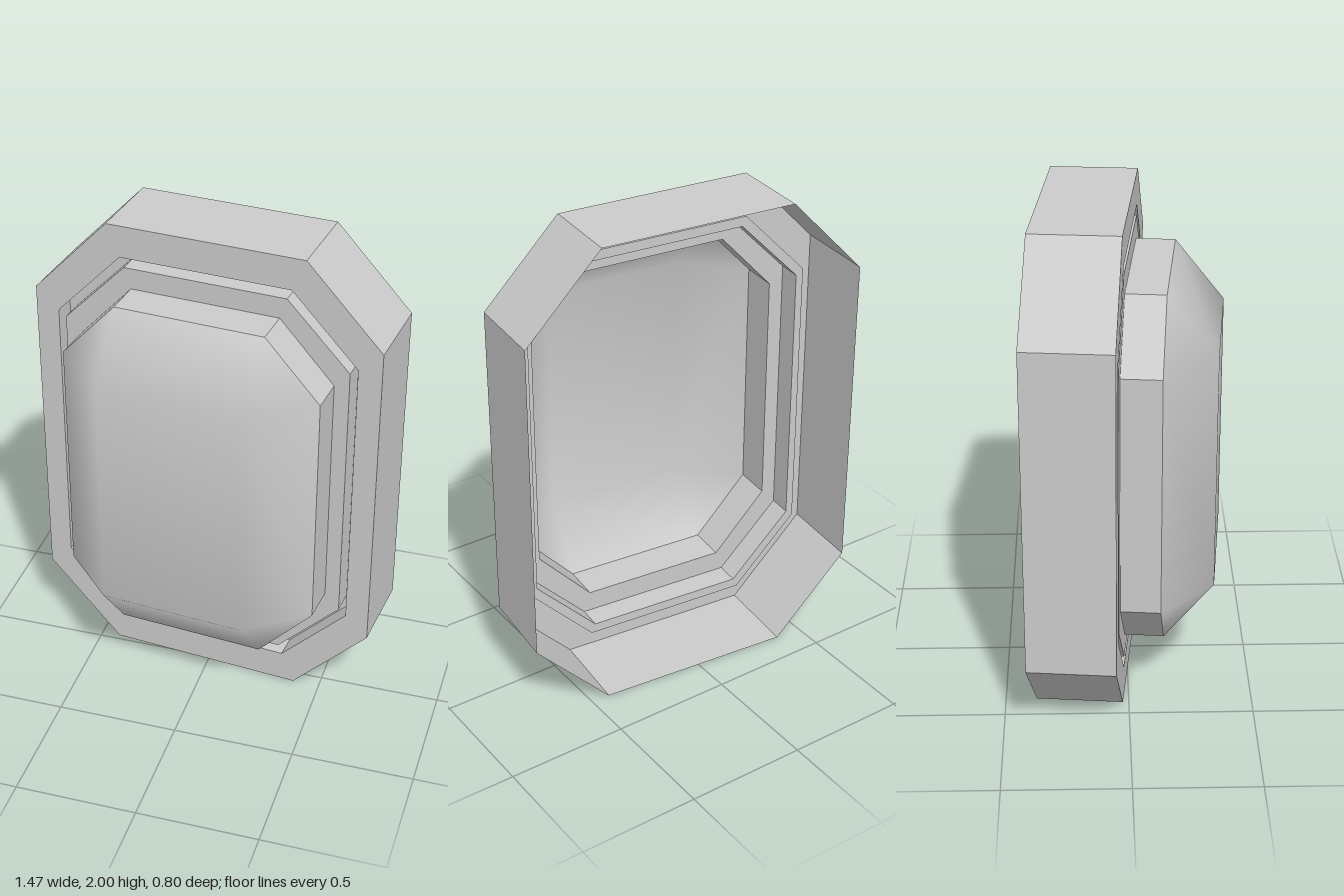
import * as THREE from 'three';

const material = new THREE.MeshStandardMaterial({ color: 0xcccccc, side: THREE.DoubleSide });
const flatMaterial = material.clone();
flatMaterial.flatShading = true;

// Chamfered rectangle, counter-clockwise from the front: half sizes hx, hy, flat-edge half lengths cx, cy
const octagon = ([hx, hy, cx, cy, z]) => [
  [hx, -cy, z], [hx, cy, z], [cx, hy, z], [-cx, hy, z],
  [-hx, cy, z], [-hx, -cy, z], [-cx, -hy, z], [cx, -hy, z],
];

// Flat-faced walls joining consecutive octagonal sections
function loft(name, sections) {
  const rings = sections.map(octagon);
  const positions = [];
  for (let s = 0; s < rings.length - 1; s++) {
    const a = rings[s], b = rings[s + 1];
    for (let i = 0; i < 8; i++) {
      const j = (i + 1) % 8;
      positions.push(...a[i], ...a[j], ...b[j], ...a[i], ...b[j], ...b[i]);
    }
  }
  const geometry = new THREE.BufferGeometry();
  geometry.setAttribute('position', new THREE.Float32BufferAttribute(positions, 3));
  geometry.computeVertexNormals();
  const mesh = new THREE.Mesh(geometry, flatMaterial);
  mesh.name = name;
  return mesh;
}

// Smooth cap: octagonal rim bevelled up to a rectangular top
function bevelledCap(name, rim, hx, hy, z) {
  const top = [[hx, hy, z], [-hx, hy, z], [-hx, -hy, z], [hx, -hy, z]];
  const index = [8, 9, 10, 8, 10, 11];
  const corner = (i) => 8 + (((i + 7) >> 1) & 3);
  for (let i = 0; i < 8; i++) {
    const j = (i + 1) % 8;
    index.push(i, j, corner(j));
    if (corner(i) !== corner(j)) index.push(i, corner(j), corner(i));
  }
  const geometry = new THREE.BufferGeometry();
  geometry.setAttribute('position',
    new THREE.Float32BufferAttribute([...octagon(rim), ...top].flat(), 3));
  geometry.setIndex(index);
  geometry.computeVertexNormals();
  const mesh = new THREE.Mesh(geometry, material);
  mesh.name = name;
  return mesh;
}

export function createModel() {
  const back = -0.176, front = 0.176, grooveFloor = 0.076, rimZ = 0.334;
  const outer = [0.721, 1, 0.407, 0.67];
  const grooveOuter = [0.625, 0.867, 0.352, 0.583];
  const grooveInner = [0.594, 0.827, 0.335, 0.56];
  const dome = [0.533, 0.74, 0.307, 0.495];

  const shell = new THREE.Group();
  shell.name = 'octagonalShell';
  shell.add(
    // Open-backed outer frame with its front face
    loft('frame', [[...outer, back], [...outer, front], [...grooveOuter, front]]),
    // Narrow channel sunk into the front
    loft('groove', [[...grooveOuter, front], [...grooveOuter, grooveFloor],
      [...grooveInner, grooveFloor], [...grooveInner, front]]),
    // Ledge and straight wall of the raised panel
    loft('panelWall', [[...grooveInner, front], [...dome, front], [...dome, rimZ]]),
    bevelledCap('panelCap', [...dome, rimZ], 0.299, 0.495, 0.533),
  );
  // The whole shell is turned slightly about the vertical
  shell.rotation.y = -0.097;
  shell.position.set(0, 1, -0.16);

  const model = new THREE.Group();
  model.name = 'model';
  model.add(shell);
  return model;
}
